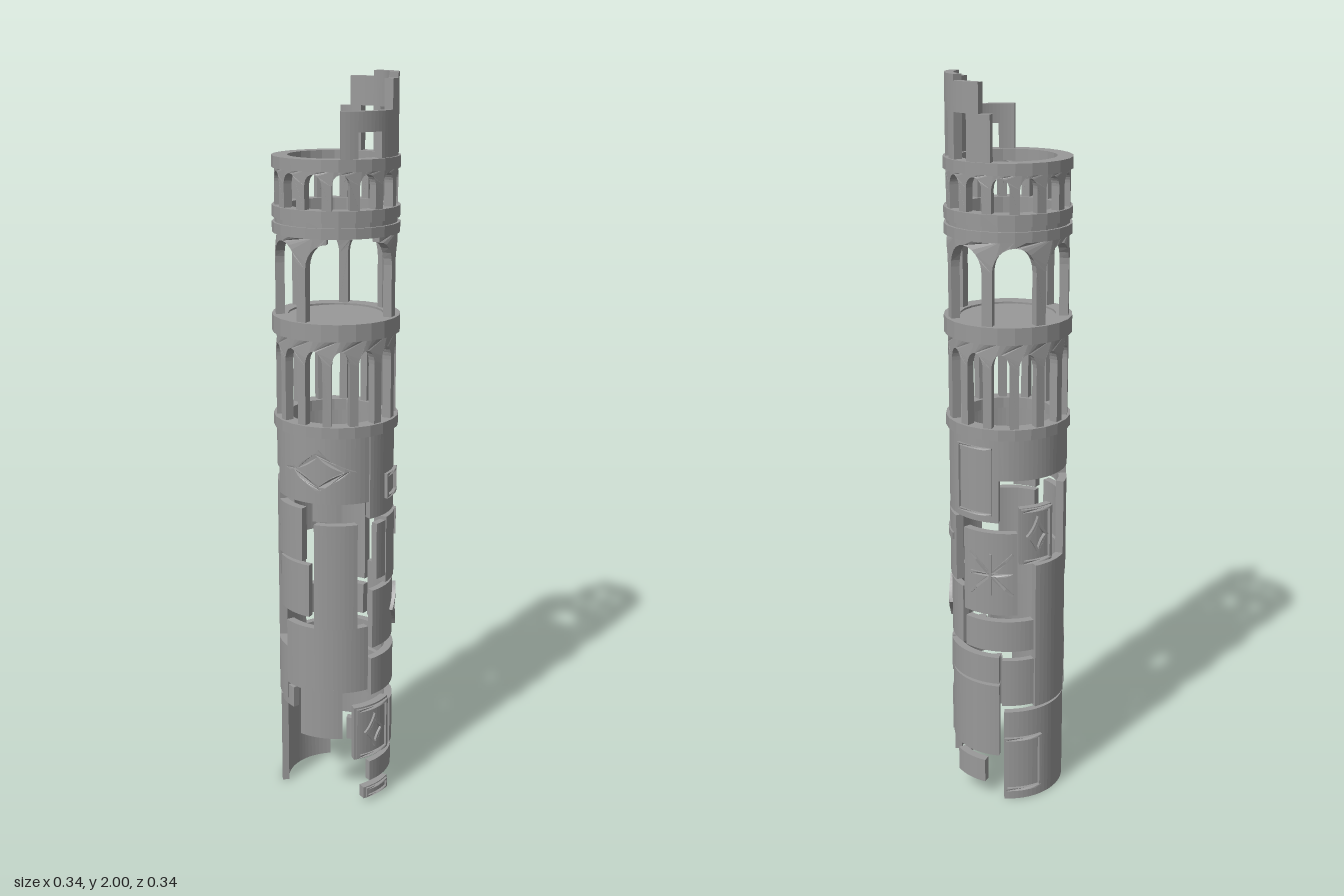
import * as THREE from 'three';

const RAD = Math.PI / 180;
const material = new THREE.MeshStandardMaterial({ color: 0x999999, flatShading: true });

export function createModel() {
  const tower = new THREE.Group();
  tower.name = 'ruinedTower';

  function add(name, geometry) {
    const mesh = new THREE.Mesh(geometry, material);
    mesh.name = name;
    tower.add(mesh);
    return mesh;
  }

  // Curved wall block; angles in degrees from +z toward +x
  function panel(name, a0, a1, y0, y1, outer = 0.16, inner = 0.138) {
    const s = new THREE.Shape();
    const from = (a0 - 90) * RAD, to = (a1 - 90) * RAD;
    s.absarc(0, 0, outer, from, to, false);
    s.absarc(0, 0, inner, to, from, true);
    const g = new THREE.ExtrudeGeometry(s, {
      depth: y1 - y0, bevelEnabled: false, curveSegments: Math.max(2, Math.ceil((a1 - a0) / 10)),
    });
    g.rotateX(-Math.PI / 2);
    g.translate(0, y0, 0);
    add(name, g);
  }

  // Flat shape (x = arc length, y = height) extruded and wrapped around the tower
  function wrap(name, shape, angle, y, inner, outer) {
    const g = new THREE.ExtrudeGeometry(shape, { depth: outer - inner, bevelEnabled: false, curveSegments: 8 });
    const p = g.attributes.position;
    for (let i = 0; i < p.count; i++) {
      const t = angle * RAD + p.getX(i) / 0.16, r = inner + p.getZ(i);
      p.setXYZ(i, r * Math.sin(t), p.getY(i) + y, r * Math.cos(t));
    }
    g.computeVertexNormals();
    add(name, g);
  }

  // Square-section ring
  function ring(name, y0, y1, outer, inner) {
    const v = (r, y) => new THREE.Vector2(r, y);
    add(name, new THREE.LatheGeometry(
      [v(inner, y0), v(outer, y0), v(outer, y1), v(inner, y1), v(inner, y0)], 24));
  }

  // Pillars, each with the half arches that spring from its two sides
  function arcade(name, count, y0, y1, halfPillar, rise, crown, skip = []) {
    const half = Math.PI / count * 0.16, span = half - halfPillar, spring = y1 - y0 - rise - crown;
    const right = [];
    for (let i = 0; i <= 6; i++) {
      const t = i / 6 * Math.PI / 2;
      right.push(new THREE.Vector2(halfPillar + span * (1 - Math.cos(t)), spring + rise * Math.sin(t)));
    }
    const pts = [new THREE.Vector2(halfPillar, 0), ...right];
    for (let i = 0; i <= 4; i++) pts.push(new THREE.Vector2(half * (1 - i / 2), y1 - y0));
    pts.push(...right.slice().reverse().map((p) => new THREE.Vector2(-p.x, p.y)));
    pts.push(new THREE.Vector2(-halfPillar, 0));
    const shape = new THREE.Shape(pts);
    for (let i = 0; i < count; i++) {
      if (!skip.includes(i)) wrap(name, shape, i * 360 / count, y0, 0.136, 0.16);
    }
  }

  // Raised four-pointed outline
  function trace(path, w, h) {
    path.moveTo(w, 0);
    path.quadraticCurveTo(w * 0.35, h * 0.35, 0, h);
    path.quadraticCurveTo(-w * 0.35, h * 0.35, -w, 0);
    path.quadraticCurveTo(-w * 0.35, -h * 0.35, 0, -h);
    path.quadraticCurveTo(w * 0.35, -h * 0.35, w, 0);
    return path;
  }
  function diamond(angle, y, w, h) {
    const s = trace(new THREE.Shape(), w, h);
    s.holes.push(trace(new THREE.Path(), w * 0.7, h * 0.7));
    wrap('diamondRelief', s, angle, y, 0.155, 0.167);
  }

  // Raised strip, divided along its length so that it follows the wall
  function bar(name, angle, y, length, tilt, width = 0.008) {
    const pts = [];
    for (const side of [-1, 1]) {
      for (let i = 0; i <= 6; i++) {
        const a = -side * (i / 6 - 0.5) * length, b = side * width / 2;
        pts.push(new THREE.Vector2(
          a * Math.cos(tilt) - b * Math.sin(tilt), a * Math.sin(tilt) + b * Math.cos(tilt)));
      }
    }
    wrap(name, new THREE.Shape(pts), angle, y, 0.155, 0.166);
  }
  function frame(angle, y, w, h, t = 0.008) {
    for (const side of [-1, 1]) {
      bar('frameRelief', angle, y + side * (h - t / 2), 2 * w, 0, t);
      bar('frameRelief', angle + side * (w - t / 2) / 0.16 / RAD, y, 2 * (h - t), Math.PI / 2, t);
    }
  }

  // Broken lower wall: start angle, end angle, bottom, top
  [
    [170, 260, 0, 0.28], [112, 150, 0.05, 0.12], [12, 48, 0.01, 0.045], [20, 78, 0.06, 0.12],
    [1, 47, 0.14, 0.3], [55, 85, 0.14, 0.28], [85, 165, 0.14, 0.36],
    [-55, -11, 0.21, 0.36], [-75, 16, 0.35, 0.54], [-90, -66, 0.28, 0.34],
    [20, 83, 0.33, 0.44], [93, 165, 0.37, 0.45], [168, 201, 0.3, 0.44],
    [202, 252, 0.29, 0.72], [255, 285, 0.3, 0.46], [22, 122, 0.47, 0.64],
    [128, 200, 0.47, 0.56], [-39, 4, 0.54, 0.84], [-90, -45, 0.57, 0.72],
    [-95, -52, 0.73, 0.88], [-40, -12, 0.85, 0.9], [27, 41, 0.67, 0.83],
    [41, 112, 0.65, 0.84], [126, 183, 0.58, 0.82], [185, 221, 0.73, 0.89],
    [244, 270, 0.66, 0.93], [-90, 16, 0.9, 1.085], [18, 89, 0.85, 1.07],
    [91, 165, 0.85, 1.085], [165, 270, 0.97, 1.085], [18, 91, 1.065, 1.085],
  ].forEach(([a0, a1, y0, y1], i) => panel('wallBlock', a0, a1, y0, y1, i % 3 ? 0.16 : 0.157));

  // Reliefs on the blocks
  diamond(-34, 0.99, 0.1, 0.06);
  diamond(72, 0.555, 0.055, 0.065);
  diamond(24, 0.22, 0.034, 0.052);
  diamond(203, 0.81, 0.032, 0.055);
  frame(24, 0.22, 0.057, 0.075);
  frame(203, 0.81, 0.046, 0.078);
  frame(53, 0.93, 0.04, 0.035);
  frame(139, 0.965, 0.055, 0.095, 0.006);
  frame(190, 0.115, 0.054, 0.085);
  frame(30, 0.028, 0.042, 0.014, 0.005);
  for (let i = 0; i < 4; i++) bar('starRelief', 157, 0.7, i % 2 ? 0.17 : 0.12, i * Math.PI / 4);
  panel('stepRelief', 74, 107, 0.765, 0.785, 0.165, 0.157);
  panel('stepRelief', 68, 74, 0.765, 0.84, 0.165, 0.157);

  // Cornices, floor and the three arcades
  ring('lowerCornice', 1.083, 1.113, 0.168, 0.127);
  arcade('lowerArcadePillar', 14, 1.11, 1.342, 0.012, 0.04, 0.03);
  ring('middleCornice', 1.34, 1.385, 0.17, 0.127);
  const floor = add('floor', new THREE.CylinderGeometry(0.13, 0.13, 0.02, 24));
  floor.position.y = 1.37;
  arcade('middleArcadePillar', 7, 1.38, 1.602, 0.014, 0.065, 0.016, [0]);
  ring('upperCorniceBase', 1.6, 1.627, 0.167, 0.127);
  ring('upperCorniceNeck', 1.625, 1.642, 0.16, 0.13);
  ring('upperCorniceTop', 1.64, 1.67, 0.167, 0.127);
  arcade('upperArcadePillar', 14, 1.668, 1.768, 0.013, 0.028, 0.01);
  ring('topCornice', 1.765, 1.795, 0.167, 0.126);

  // Broken crown wall with window openings
  [
    [-13, 3, 1.79, 1.91], [3, 28, 1.86, 1.91], [28, 45, 1.79, 1.91],
    [45, 60, 1.79, 1.985], [60, 90, 1.79, 2], [90, 105, 1.91, 2],
    [105, 117, 1.79, 2], [117, 134, 1.91, 1.985], [134, 147, 1.79, 1.985], [147, 158, 1.79, 1.91],
  ].forEach(([a0, a1, y0, y1]) => panel('crownWall', a0, a1, y0, y1, 0.16, 0.136));

  return tower;
}
